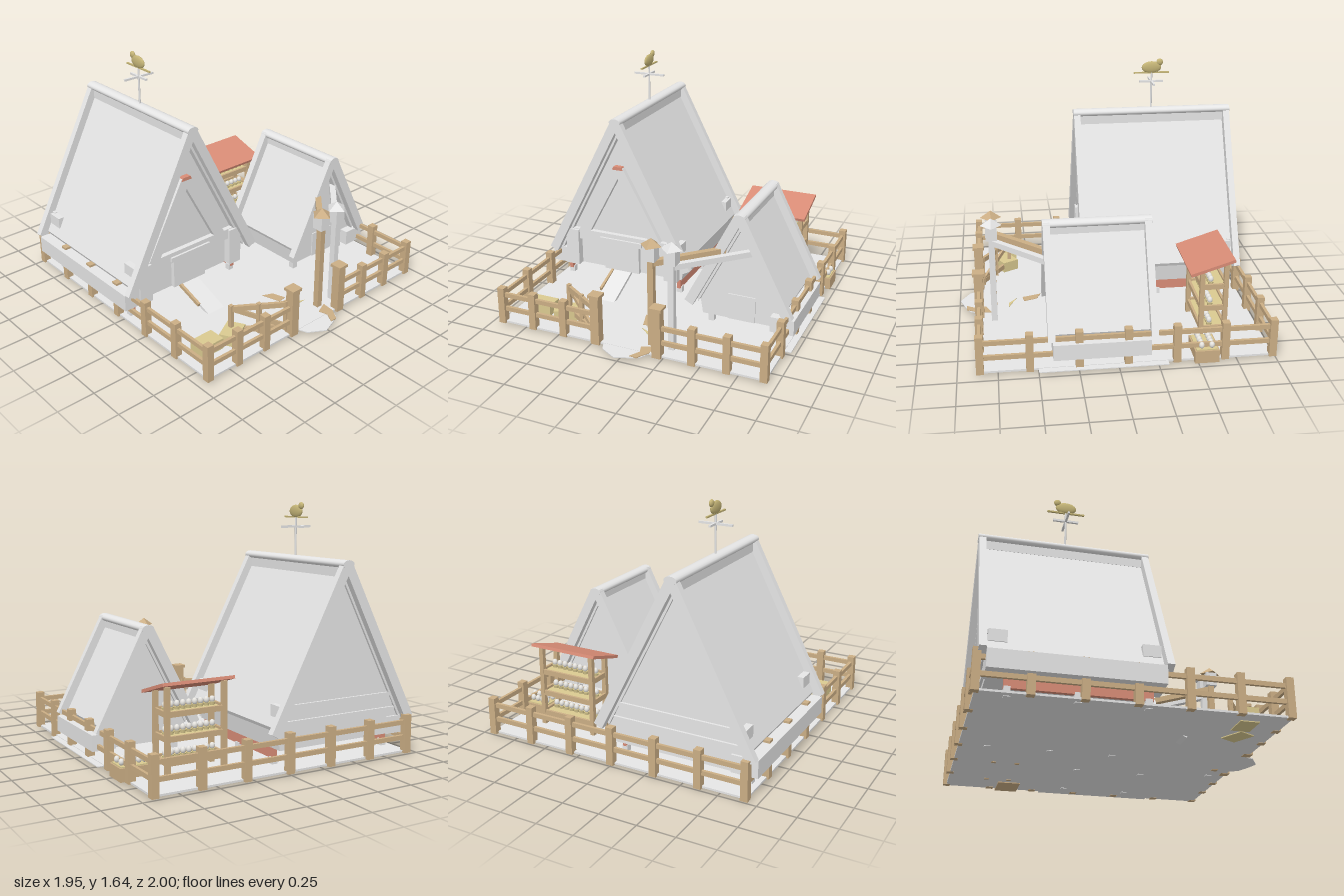
import * as THREE from 'three';

const mat = (name, color) => {
  const m = new THREE.MeshStandardMaterial({ color });
  m.name = name;
  return m;
};

export function createModel() {
  const root = new THREE.Group();
  root.name = 'chickenFarm';
  const grey = mat('paleGrey', 0xe5e5e5);
  const wood = mat('tanWood', 0xcbae85);
  const red = mat('terracotta', 0xd88c76);
  const straw = mat('straw', 0xdaca90);
  const gold = mat('brass', 0xc6b678);
  const egg = mat('eggWhite', 0xe5e3de);

  const add = (name, geo, m, x = 0, y = 0, z = 0, parent = root) => {
    const mesh = new THREE.Mesh(geo, m);
    mesh.name = name;
    mesh.position.set(x, y, z);
    parent.add(mesh);
    return mesh;
  };
  // box given by its limits
  const box = (name, m, x0, x1, y0, y1, z0, z1, parent = root) =>
    add(name, new THREE.BoxGeometry(x1 - x0, y1 - y0, z1 - z0), m, (x0 + x1) / 2, (y0 + y1) / 2, (z0 + z1) / 2, parent);
  // bar between two points
  const bar = (name, m, a, b, w, h, parent = root) => {
    const p = new THREE.Vector3(...a), q = new THREE.Vector3(...b);
    const mesh = add(name, new THREE.BoxGeometry(w, h, p.distanceTo(q)), m, 0, 0, 0, parent);
    mesh.position.copy(p).add(q).multiplyScalar(0.5);
    mesh.lookAt(q);
  };
  // outline in x,y extruded from z0 to z1
  const extrude = (name, m, pts, z0, z1, parent = root) => {
    const shape = new THREE.Shape(pts.map((p) => new THREE.Vector2(...p)));
    return add(name, new THREE.ExtrudeGeometry(shape, { depth: z1 - z0, bevelEnabled: false }), m, 0, 0, z0, parent);
  };
  // flat patch on the ground, points in x,z
  const patch = (name, m, pts, y0, y1) => {
    const mesh = extrude(name, m, pts.map(([x, z]) => [x, -z]), 0, y1 - y0);
    mesh.rotation.x = -Math.PI / 2;
    mesh.position.y = y0;
  };

  // ground and entrance path
  box('ground', grey, -0.93, 0.93, 0.012, 0.025, -0.98, 0.87);
  box('sidePad', grey, 0.9, 0.975, 0.016, 0.022, -0.31, 0.5);
  patch('entrancePath', grey, [[-0.17, 0.85], [-0.14, 0.93], [-0.03, 0.995], [0.07, 0.96], [0.13, 0.93], [0.17, 0.85]], 0.016, 0.023);
  patch('pathEarth', wood, [[0.08, 0.82], [0.17, 0.78], [0.16, 0.87], [0.11, 0.95], [0.06, 0.95], [0.1, 0.88]], 0.02, 0.028);
  patch('earthPatch', wood, [[-0.07, 0.43], [0, 0.46], [0.03, 0.55], [-0.03, 0.56]], 0.02, 0.028);
  patch('looseStraw', straw, [[-0.02, 0.6], [0.06, 0.64], [0.11, 0.66], [0.05, 0.66]], 0.02, 0.028);

  // fence
  const fence = new THREE.Group();
  fence.name = 'fence';
  root.add(fence);
  const post = (x, z) => box('fencePost', wood, x - 0.024, x + 0.024, 0.01, 0.265, z - 0.024, z + 0.024, fence);
  [-0.92, -0.685, -0.455, 0.45, 0.68, 0.92].forEach((x) => post(x, 0.86));
  for (let i = 0; i <= 6; i++) post(-0.92 + i * 0.3067, -0.98);
  for (let i = 1; i <= 5; i++) for (const x of [-0.92, 0.92]) post(x, -0.98 + i * 0.3067);
  for (const y of [0.1, 0.2]) {
    for (const s of [-1, 1]) {
      box('sideRail', wood, s * 0.92 - 0.01, s * 0.92 + 0.01, y, y + 0.03, -0.98, 0.86, fence);
      box('frontRail', wood, s > 0 ? 0.215 : -0.92, s > 0 ? 0.92 : -0.215, y, y + 0.03, 0.85, 0.87, fence);
    }
    box('backRail', wood, -0.92, 0.92, y, y + 0.03, -0.99, -0.97, fence);
  }
  for (const x of [-0.215, 0.215]) {
    box('gatePost', wood, x - 0.03, x + 0.03, 0.01, 0.34, 0.83, 0.89, fence);
    box('gatePostCap', wood, x - 0.04, x + 0.04, 0.34, 0.36, 0.82, 0.9, fence);
  }

  // open gate leaf
  const gate = new THREE.Group();
  gate.name = 'gate';
  root.add(gate);
  for (const y of [0.07, 0.235]) bar('gateRail', wood, [-0.23, y, 0.84], [-0.55, y, 0.63], 0.022, 0.035, gate);
  bar('gateBrace', wood, [-0.24, 0.07, 0.835], [-0.54, 0.235, 0.637], 0.018, 0.03, gate);
  for (const t of [0.04, 0.5, 0.97]) {
    const x = -0.23 - 0.32 * t, z = 0.84 - 0.21 * t;
    box('gateStile', wood, x - 0.013, x + 0.013, 0.04, 0.26, z - 0.013, z + 0.013, gate);
  }

  // A-frame roofs: two slopes meeting at the ridge
  const slope = 1.94;
  const chevron = (c, apex, top, bottom, w) => {
    const hw = (y) => (apex - y) / slope;
    const right = [[hw(top), top], [hw(bottom), bottom], [hw(bottom - 0.03) - w, bottom - 0.03]];
    return [
      ...right.map(([x, y]) => [c + x, y]),
      [c, apex - w * slope],
      ...right.reverse().map(([x, y]) => [c - x, y]),
    ].reverse();
  };
  const hut = (name, c, apex, top, eave, z0, z1, floor) => {
    const g = new THREE.Group();
    g.name = name;
    root.add(g);
    for (const z of [z0, z1 - 0.045]) extrude('bargeBoards', grey, chevron(c, apex, top, eave, 0.072), z, z + 0.045, g);
    // slopes are set back below the barge boards
    extrude('roofSlopes', grey, chevron(c, apex - 0.115, apex - 0.13, eave + 0.015, 0.03), z0 + 0.045, z1 - 0.045, g);
    const inner = apex - 0.15, hw = (inner - eave) / slope;
    extrude('gableBody', grey, [[c - hw + 0.02, floor], [c + hw - 0.02, floor], [c + hw, eave], [c, inner], [c - hw, eave]], z0 + 0.06, z1 - 0.09, g);
    box('ridgeBeam', grey, c - 0.02, c + 0.02, apex - 0.15, top - 0.035, z0 + 0.045, z1 - 0.045, g);
    const cap = add('ridgeCap', new THREE.CylinderGeometry(0.042, 0.042, z1 - z0 + 0.005, 16), grey, c, top - 0.018, (z0 + z1) / 2, g);
    cap.rotation.x = Math.PI / 2;
    cap.scale.z = 0.62;
    return g;
  };

  // large hut
  const big = hut('largeHut', -0.425, 1.33, 1.28, 0.26, -0.975, 0.145, 0.135);
  box('nestBox', grey, -0.975, -0.8, 0.135, 0.25, -0.93, 0.1, big);
  for (const z of [-0.865, 0.035]) box('tieBeam', grey, -0.885, 0.03, 0.335, 0.41, z - 0.055, z + 0.055, big);
  for (const y of [0.17, 0.29, 0.39]) box('backBand', grey, -0.86, 0.01, y, y + 0.025, -0.93, -0.9, big);
  extrude('gableFrame', grey, [[-0.76, 0.41], [-0.67, 0.41], [-0.44, 0.84], [-0.21, 0.41], [-0.12, 0.41], [-0.4, 0.92], [-0.48, 0.92]], 0.05, 0.09, big);
  extrude('gableTip', red, [[-0.482, 0.905], [-0.398, 0.905], [-0.41, 0.928], [-0.47, 0.928]], 0.045, 0.094, big);
  for (const x of [-0.86, -0.085]) box('frontPier', grey, x, x + 0.1, 0.135, 0.405, 0.03, 0.11, big);
  box('doorPanel', grey, -0.56, -0.29, 0.135, 0.34, 0.05, 0.085, big);
  box('doorLintel', grey, -0.59, -0.26, 0.35, 0.38, 0.05, 0.105, big);
  for (const x of [-0.87, 0]) {
    box('skid', red, x - 0.013, x + 0.013, 0.06, 0.135, -0.82, 0.04, big);
    for (const z of [-0.8, -0.4, 0.01]) box('foot', grey, x - 0.02, x + 0.02, 0.008, 0.07, z - 0.02, z + 0.02, big);
  }
  bar('ramp', grey, [-0.422, 0.14, 0.04], [-0.422, 0.01, 0.365], 0.135, 0.02, big);
  bar('rampRail', wood, [-0.5, 0.14, 0.04], [-0.5, 0.06, 0.27], 0.018, 0.025, big);

  // small hut
  const small = hut('smallHut', 0.585, 0.925, 0.86, 0.21, -0.245, 0.44, 0.09);
  box('nestBox', grey, 0.8, 0.96, 0.085, 0.19, -0.2, 0.41, small);
  box('hutDoor', grey, 0.49, 0.68, 0.09, 0.27, 0.34, 0.358, small);
  for (const x of [0.36, 0.82]) for (const z of [-0.15, 0.3]) box('hutLeg', grey, x - 0.02, x + 0.02, 0.008, 0.1, z - 0.02, z + 0.02, small);

  // lantern posts with arms to the small hut
  const lantern = (m, x, end) => {
    const g = new THREE.Group();
    g.name = 'lanternPost';
    root.add(g);
    box('post', m, x - 0.02, x + 0.02, 0.008, 0.62, 0.74, 0.78, g);
    box('lanternBox', grey, x - 0.038, x + 0.038, 0.62, 0.715, 0.722, 0.798, g);
    const cap = new THREE.ConeGeometry(0.072, 0.05, 4).toNonIndexed();
    cap.computeVertexNormals();
    add('lanternCap', cap, m, x, 0.74, 0.76, g);
    bar('arm', m, [x, 0.598, 0.76], end, 0.04, 0.038, g);
  };
  lantern(wood, 0.13, [0.48, 0.598, 0.4]);
  lantern(grey, 0.27, [0.66, 0.598, 0.37]);

  // egg stand with red lean-to roof
  const stand = new THREE.Group();
  stand.name = 'eggStand';
  root.add(stand);
  const eggGeo = new THREE.SphereGeometry(0.018, 12, 8).scale(1, 1.2, 1);
  bar('standRoof', red, [0.505, 0.505, -0.48], [0.505, 0.595, -0.765], 0.49, 0.02, stand);
  for (const x of [0.31, 0.7]) {
    box('standPost', wood, x - 0.015, x + 0.015, 0.008, 0.53, -0.58, -0.55, stand);
    box('standPost', wood, x - 0.015, x + 0.015, 0.008, 0.57, -0.735, -0.705, stand);
  }
  for (const y of [0.09, 0.235, 0.385]) {
    box('shelf', straw, 0.3, 0.71, y, y + 0.02, -0.72, -0.57, stand);
    for (const z of [-0.725, -0.565]) box('shelfEdge', wood, 0.3, 0.71, y, y + 0.035, z - 0.008, z + 0.008, stand);
    for (const x of [0.305, 0.705]) box('shelfEnd', wood, x - 0.008, x + 0.008, y, y + 0.035, -0.72, -0.57, stand);
    for (let i = 0; i < 9; i++) {
      add('nest', new THREE.CylinderGeometry(0.02, 0.016, 0.02, 8), straw, 0.34 + i * 0.041, y + 0.03, -0.627, stand);
      add('egg', eggGeo, egg, 0.34 + i * 0.041, y + 0.056, -0.627, stand);
    }
  }

  // egg crate
  box('crate', wood, 0.755, 0.965, 0.006, 0.09, -0.63, -0.475);
  box('crateStraw', straw, 0.765, 0.955, 0.09, 0.097, -0.62, -0.485);
  for (let i = 0; i < 5; i++) for (const z of [-0.585, -0.52]) add('egg', eggGeo, egg, 0.785 + i * 0.038, 0.118, z);

  // hay bales
  box('hayBale', straw, -0.83, -0.66, 0.006, 0.1, 0.58, 0.7);
  add('hayBale', new THREE.BoxGeometry(0.16, 0.094, 0.12), straw, -0.555, 0.053, 0.665).rotation.y = 0.5;

  // weather vane
  const vane = new THREE.Group();
  vane.name = 'weatherVane';
  vane.position.set(-0.425, 0, -0.41);
  root.add(vane);
  add('pole', new THREE.CylinderGeometry(0.007, 0.007, 0.28, 8), grey, 0, 1.4, 0, vane);
  box('crossBarX', grey, -0.115, 0.115, 1.468, 1.482, -0.007, 0.007, vane);
  box('crossBarZ', grey, -0.007, 0.007, 1.468, 1.482, -0.085, 0.085, vane);
  box('arrow', gold, -0.006, 0.006, 1.533, 1.543, -0.125, 0.125, vane);
  const ball = new THREE.SphereGeometry(1, 16, 12);
  add('birdBody', ball, gold, 0, 1.576, 0, vane).scale.set(0.016, 0.042, 0.07);
  add('birdHead', ball, gold, 0, 1.612, -0.058, vane).scale.set(0.014, 0.024, 0.024);

  return root;
}
